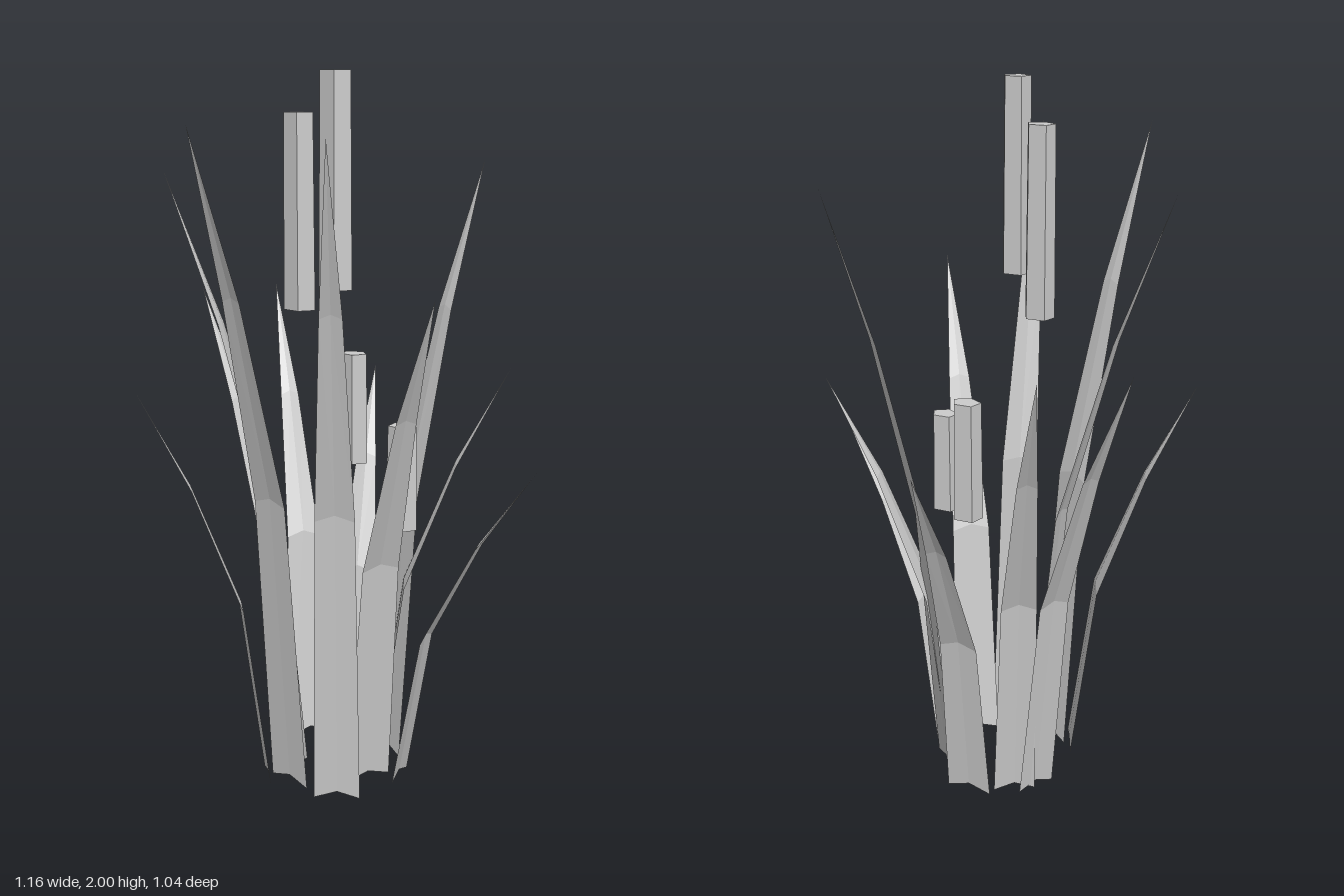
import * as THREE from 'three';

const reedGrey = new THREE.MeshStandardMaterial({ color: 0xcccccc, side: THREE.DoubleSide, flatShading: true });
reedGrey.name = 'reedGrey';

// Folded blade that bends outward: left edge, raised crease and right edge at each station
function blade(baseX, baseZ, tipX, tipZ, height, width) {
  const dx = tipX - baseX, dz = tipZ - baseZ, len = Math.hypot(dx, dz);
  const px = -dz / len, pz = dx / len;
  // [height share, outward share, width share, crease lift]
  const stations = [[0, 0, 1, 0.02], [0.455, 0.2, 0.83, 0.018], [0.76, 0.59, 0.46, 0.012], [1, 1, 0, 0]];
  const rows = stations.map(([h, out, w, lift]) => [-1, 0, 1].map(s => new THREE.Vector3(
    baseX + dx * out + px * s * w * width / 2,
    height * h + (s === 0 ? lift : 0),
    baseZ + dz * out + pz * s * w * width / 2)));
  const points = [];
  for (let i = 0; i < 3; i++) {
    for (let j = 0; j < 2; j++) {
      const a = rows[i][j], b = rows[i][j + 1], c = rows[i + 1][j + 1], d = rows[i + 1][j];
      points.push(a, b, c);
      if (i < 2) points.push(a, c, d);
    }
  }
  const geometry = new THREE.BufferGeometry().setFromPoints(points);
  geometry.computeVertexNormals();
  return new THREE.Mesh(geometry, reedGrey);
}

// Five-sided seed head, slightly narrower at the top
function seedHead(x, z, bottom, top) {
  const geometry = new THREE.CylinderGeometry(0.043, 0.047, top - bottom, 5);
  geometry.rotateY(Math.PI / 2);
  geometry.scale(1, 1, 0.83);
  geometry.translate(x, (top + bottom) / 2, z);
  return new THREE.Mesh(geometry, reedGrey);
}

export function createModel() {
  const group = new THREE.Group();
  group.name = 'reedClump';

  // Ring of blades: base x, base z, tip x, tip z, height, width
  const blades = [
    [-0.075, -0.205, -0.166, -0.52, 1.10, 0.133],
    [-0.175, -0.117, -0.44, -0.368, 1.365, 0.12],
    [-0.214, -0.065, -0.58, -0.168, 1.365, 0.117],
    [-0.08, 0.097, -0.444, 0.206, 1.74, 0.12],
    [-0.14, 0.195, -0.403, 0.419, 1.165, 0.135],
    [-0.069, 0.19, -0.15, 0.512, 1.87, 0.14],
    [0.1, 0.212, 0.242, 0.516, 1.845, 0.13],
    [0.12, 0.06, 0.406, 0.26, 1.45, 0.135],
    [0.195, 0.006, 0.58, -0.02, 0.965, 0.113],
    [0.07, -0.095, 0.4, -0.266, 1.19, 0.122],
    [0.08, -0.135, 0.244, -0.408, 1.76, 0.14],
  ];
  blades.forEach((b, i) => {
    const mesh = blade(...b);
    mesh.name = 'blade' + (i + 1);
    group.add(mesh);
  });

  // Seed heads: x, z, bottom, top
  const heads = [
    [0.1, 0.213, 1.45, 2.0],
    [-0.075, 0.1, 1.37, 1.895],
    [-0.073, -0.203, 0.87, 1.2],
    [0.195, 0.008, 0.76, 1.055],
  ];
  heads.forEach((h, i) => {
    const mesh = seedHead(...h);
    mesh.name = 'seedHead' + (i + 1);
    group.add(mesh);
  });
  return group;
}
